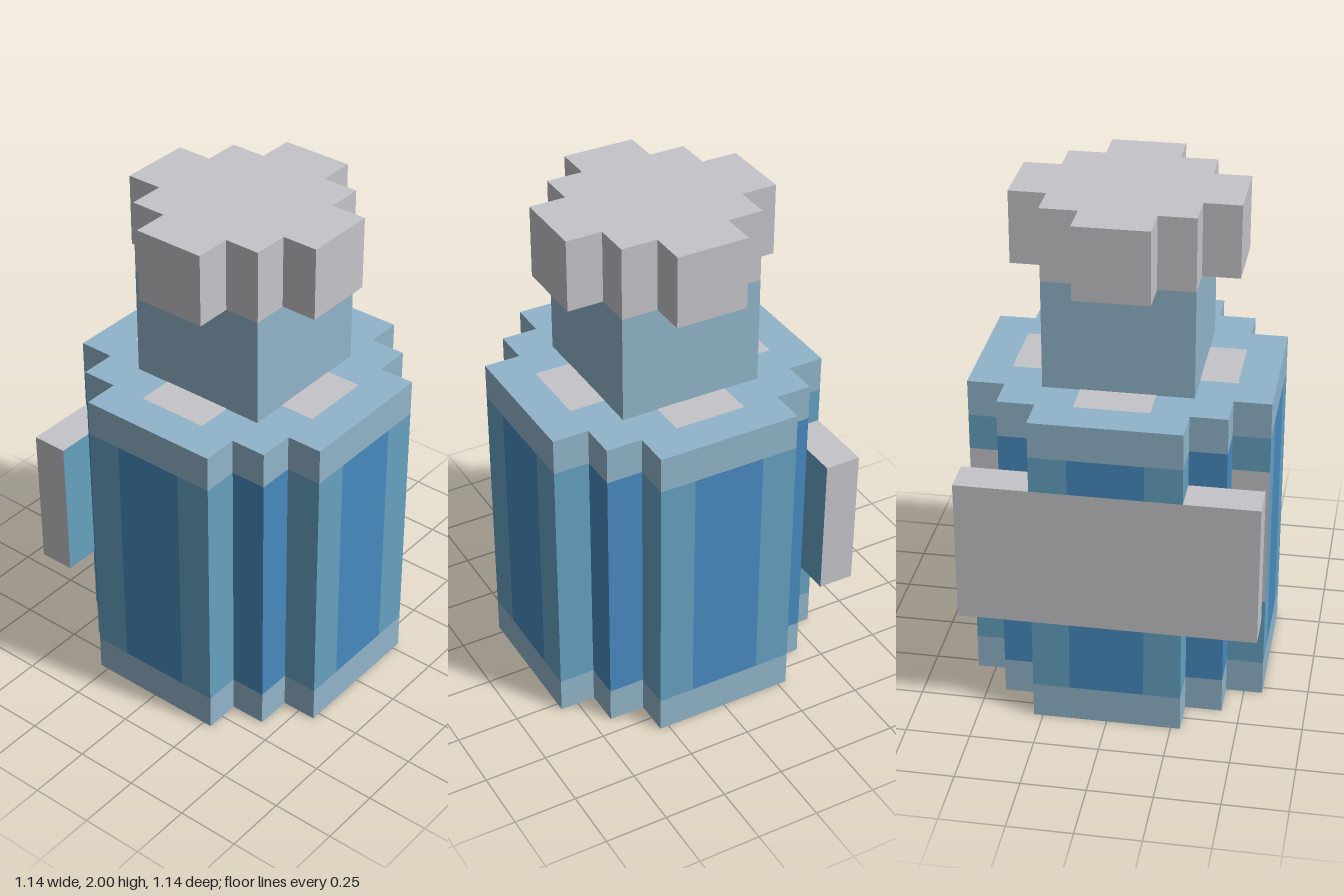
import * as THREE from 'three';

const U = 1 / 7; // one block

function material(name, color) {
  const m = new THREE.MeshStandardMaterial({ color });
  m.name = name;
  return m;
}

// Stepped outline, symmetric on both axes; steps lists [x, z] corners of one quadrant.
function steppedShape(steps) {
  const quarter = [];
  steps.forEach(([x, y], i) => {
    if (i > 0) quarter.push([x, steps[i - 1][1]]);
    quarter.push([x, y]);
  });
  const pts = [];
  for (let q = 0; q < 4; q++) {
    for (const [x, y] of quarter) {
      const [a, b] = [[x, y], [-y, x], [-x, -y], [y, -x]][q];
      pts.push(new THREE.Vector2(a * U, b * U));
    }
  }
  return new THREE.Shape(pts);
}

function prism(shape, y0, y1) {
  const g = new THREE.ExtrudeGeometry(shape, { depth: (y1 - y0) * U, bevelEnabled: false });
  g.rotateX(-Math.PI / 2);
  g.translate(0, y0 * U, 0);
  return g;
}

export function createModel() {
  const root = new THREE.Group();
  root.name = 'flask';
  const glass = material('paleBlue', 0x91b5ca);
  const edge = material('midBlue', 0x66a2c1);
  const liquid = material('deepBlue', 0x478abf);
  const metal = material('lightGrey', 0xc5c4c9);

  const add = (name, geometry, mat, parent = root) => {
    const mesh = new THREE.Mesh(geometry, mat);
    mesh.name = name;
    parent.add(mesh);
    return mesh;
  };

  // Base and shoulder of the round body
  const bodyShape = steppedShape([[4, 2], [3, 3], [2, 4]]);
  add('base', prism(bodyShape, 0, 1), glass);
  add('shoulder', prism(bodyShape, 8, 9), glass);

  // Striped walls: [x0, x1, z, colour], repeated on four sides
  const panels = [
    [-4, -3, 2, edge], [-3, -2, 3, liquid], [-2, -1, 4, edge], [-1, 1, 4, liquid],
    [1, 2, 4, edge], [2, 3, 3, liquid], [3, 4, 2, edge],
  ];
  for (let side = 0; side < 4; side++) {
    const wall = new THREE.Group();
    wall.name = ['frontWall', 'leftWall', 'backWall', 'rightWall'][side];
    wall.rotation.y = side * Math.PI / 2;
    root.add(wall);
    // the back wall has a grey band level with the strap
    const bands = side === 2 ? [[1, 3], [3, 7, metal], [7, 8]] : [[1, 8]];
    for (const [x0, x1, z, mat] of panels) {
      for (const [y0, y1, bandMat] of bands) {
        const g = new THREE.PlaneGeometry((x1 - x0) * U, (y1 - y0) * U);
        g.translate((x0 + x1) / 2 * U, (y0 + y1) / 2 * U, z * U);
        add('wallPanel', g, bandMat || mat, wall);
      }
    }
    // grey patch on the shoulder beside the neck
    const patch = new THREE.PlaneGeometry(2 * U, U).rotateX(-Math.PI / 2);
    patch.translate(0, 9 * U + 0.002, 2.5 * U);
    add('shoulderPatch', patch, metal, wall);
  }

  // Neck
  add('neck', new THREE.BoxGeometry(4 * U, 3 * U, 4 * U).translate(0, 10.5 * U, 0), glass);

  // Stopper with a blue underside
  const capShape = steppedShape([[3, 1], [2, 2], [1, 3]]);
  add('stopper', prism(capShape, 12, 14), metal);
  const under = new THREE.ShapeGeometry(capShape).rotateX(Math.PI / 2);
  add('stopperUnderside', under.translate(0, 12 * U - 0.002, 0), glass);

  // Strap across the back, blue on its inner face
  const strap = new THREE.BoxGeometry(8 * U, 4 * U, U).translate(0, 5 * U, -3.5 * U);
  add('backStrap', strap, [metal, metal, metal, metal, edge, metal]);

  return root;
}
